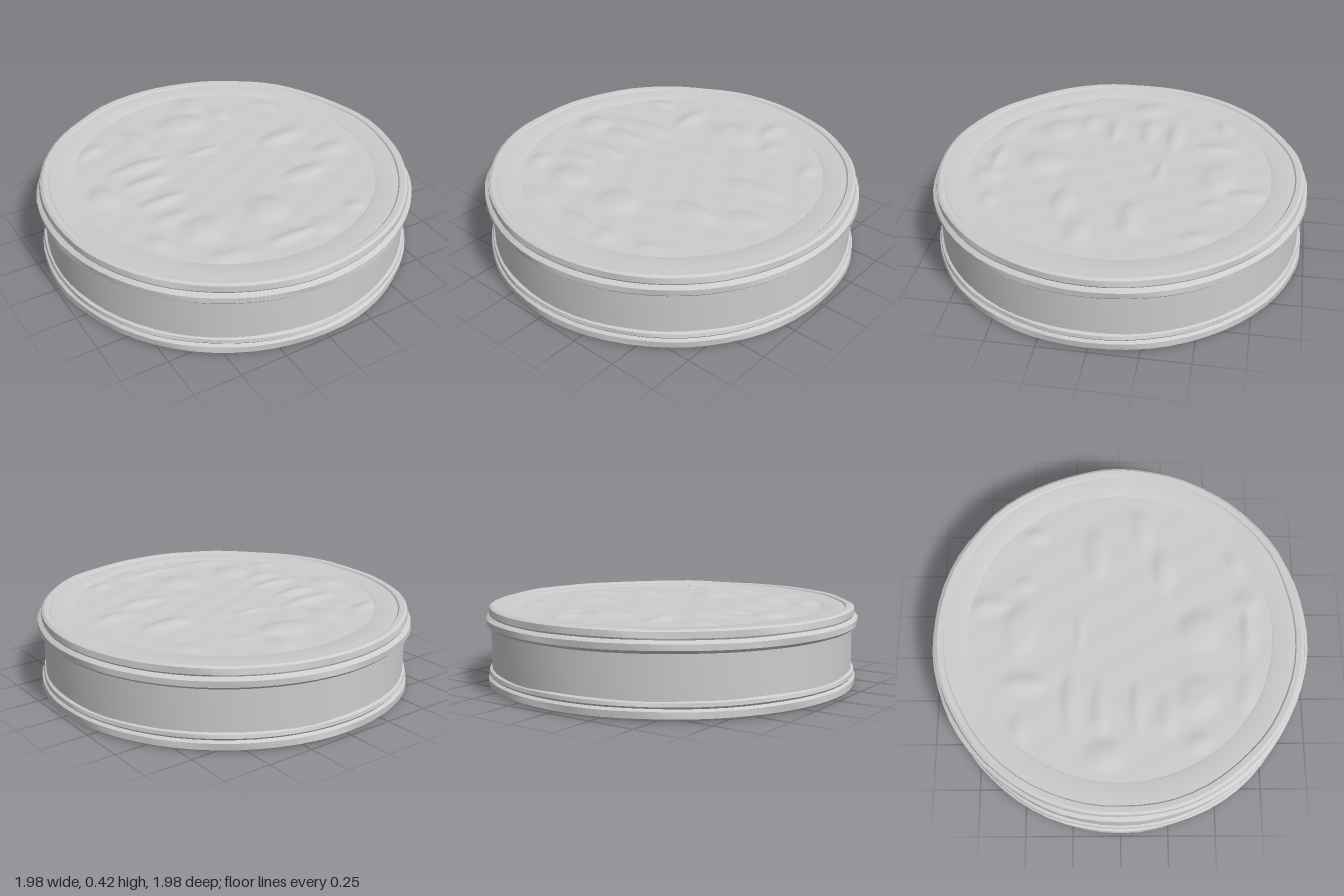
import * as THREE from 'three';
import { toCreasedNormals } from 'three/addons/utils/BufferGeometryUtils.js';

const stone = new THREE.MeshStandardMaterial({ color: 0xcccccc });
stone.name = 'pale grey stone';

// Gentle, periodic unevenness so the turned edges look hand-worn
const wear = (a, y) =>
  Math.sin(a * 7 + y * 40) * 0.5 + Math.sin(a * 11 - y * 25) * 0.3 + Math.sin(a * 17 + y * 60) * 0.2;

// Turned ring or disc from [radius, height] pairs, worn by a small amount
function turned(name, profile, amount) {
  const geo = new THREE.LatheGeometry(profile.map(([r, y]) => new THREE.Vector2(r, y)), 64);
  const p = geo.attributes.position;
  for (let i = 0; i < p.count; i++) {
    const x = p.getX(i), y = p.getY(i), z = p.getZ(i);
    const w = wear(Math.atan2(x, z), y) * amount;
    p.setX(i, x * (1 + w));
    p.setZ(i, z * (1 + w));
    if (y > 0.001) p.setY(i, y + w * 0.5);
  }
  const mesh = new THREE.Mesh(toCreasedNormals(geo, 0.45), stone);
  mesh.name = name;
  return mesh;
}

// Raised motifs on the face: x, z, half width, half depth, height
const motifs = [
  [0.02, -0.52, 0.12, 0.08, 0.016], [0.16, -0.68, 0.04, 0.10, 0.014],
  [-0.28, -0.50, 0.04, 0.12, 0.014], [-0.55, -0.52, 0.09, 0.04, 0.012],
  [-0.38, -0.25, 0.16, 0.04, 0.012], [-0.66, -0.08, 0.07, 0.08, 0.015],
  [-0.42, -0.10, 0.12, 0.04, 0.012], [0.00, -0.21, 0.09, 0.02, 0.010],
  [0.45, -0.12, 0.13, 0.05, 0.014], [0.27, -0.50, 0.04, 0.05, 0.010],
  [0.56, -0.45, 0.04, 0.05, 0.010], [0.60, 0.12, 0.09, 0.05, 0.014],
  [-0.42, 0.09, 0.13, 0.03, 0.013], [-0.45, 0.24, 0.10, 0.04, 0.012],
  [-0.35, 0.40, 0.10, 0.09, 0.015], [-0.60, 0.40, 0.05, 0.05, 0.012],
  [0.00, 0.42, 0.10, 0.10, 0.016], [0.35, 0.24, 0.12, 0.05, 0.013],
  [0.00, 0.67, 0.14, 0.03, 0.013], [-0.35, 0.66, 0.10, 0.05, 0.013],
  [0.40, 0.62, 0.05, 0.04, 0.010], [0.16, 0.68, 0.05, 0.07, 0.012],
];

// Carved face: a finely ringed disc lifted by the motifs
function carvedFace() {
  const rings = Array.from({ length: 41 }, (_, i) => new THREE.Vector2(0.8 * (1 - i / 40), 0.402));
  const geo = new THREE.LatheGeometry(rings, 128);
  const p = geo.attributes.position;
  for (let i = 0; i < p.count; i++) {
    const x = p.getX(i), z = p.getZ(i);
    let lift = 0;
    for (const [mx, mz, w, d, h] of motifs) {
      const q = ((x - mx) / w) ** 2 + ((z - mz) / d) ** 2;
      lift = Math.max(lift, h * Math.exp(-q * q));
    }
    const fade = Math.min(1, (0.8 - Math.hypot(x, z)) / 0.05);
    const grain = 0.002 * Math.sin(x * 23 + z * 9) * Math.sin(z * 27 - x * 7);
    p.setY(i, 0.402 + fade * (lift + grain));
  }
  geo.computeVertexNormals();
  const mesh = new THREE.Mesh(geo, stone);
  mesh.name = 'carvedFace';
  return mesh;
}

export function createModel() {
  const group = new THREE.Group();
  group.name = 'roundPlinth';
  group.add(
    // Flat underside with the foot moulding
    turned('foot', [[0, 0], [0.97, 0], [0.983, 0.012], [0.983, 0.045], [0.968, 0.056],
      [0.976, 0.066], [0.972, 0.084], [0.955, 0.092]], 0.006),
    // Plain drum wall
    turned('wall', [[0.96, 0.08], [0.96, 0.315]], 0.001),
    // Lip, groove and upper rim
    turned('rim', [[0.955, 0.305], [0.975, 0.312], [0.988, 0.325], [0.988, 0.355], [0.966, 0.37],
      [0.97, 0.378], [0.966, 0.408], [0.952, 0.416], [0.925, 0.414], [0.918, 0.406],
      [0.81, 0.406], [0.797, 0.401]], 0.005),
    carvedFace(),
  );
  return group;
}
